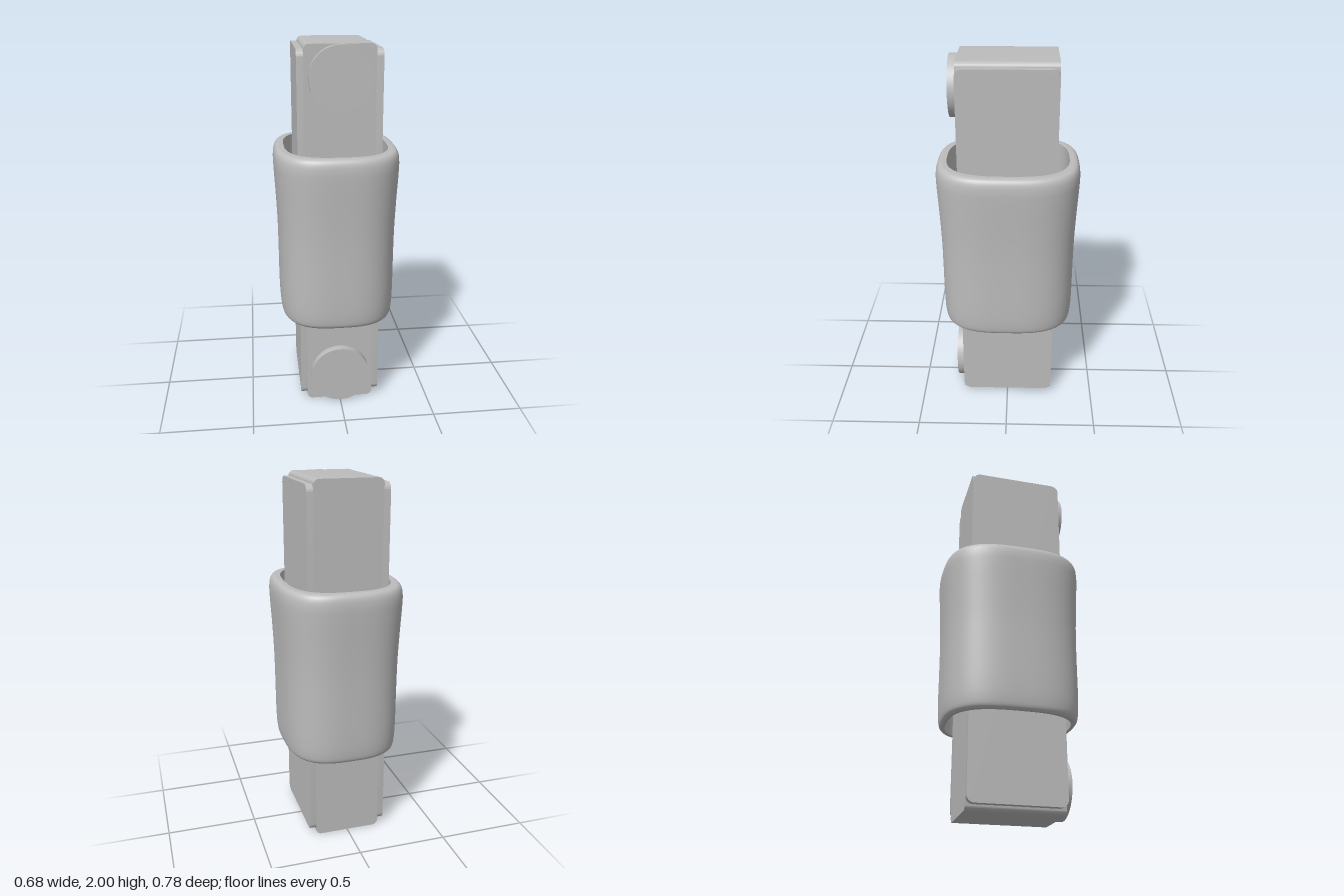
import * as THREE from 'three';
import { toCreasedNormals } from 'three/addons/utils/BufferGeometryUtils.js';

const grey = new THREE.MeshStandardMaterial({ color: 0xbcbcbc });
grey.name = 'grey';

function add(parent, name, geometry, x = 0, y = 0, z = 0) {
  const mesh = new THREE.Mesh(geometry, grey);
  mesh.name = name;
  mesh.position.set(x, y, z);
  parent.add(mesh);
  return mesh;
}

// Slab with a rounded rectangular outline, centred on the origin
function roundedSlab(w, h, r, depth) {
  const x = w / 2, y = h / 2, s = new THREE.Shape();
  s.moveTo(-x + r, -y);
  s.lineTo(x - r, -y);
  s.absarc(x - r, -y + r, r, -Math.PI / 2, 0);
  s.lineTo(x, y - r);
  s.absarc(x - r, y - r, r, 0, Math.PI / 2);
  s.lineTo(-x + r, y);
  s.absarc(-x + r, y - r, r, Math.PI / 2, Math.PI);
  s.lineTo(-x, -y + r);
  s.absarc(-x + r, -y + r, r, Math.PI, Math.PI * 1.5);
  const g = new THREE.ExtrudeGeometry(s, { depth, bevelEnabled: false, curveSegments: 8 });
  return toCreasedNormals(g.translate(0, 0, -depth / 2), 0.6);
}

// Skin over stacked squarish ovals; each ring is [half width, y, exponent]
function loft(rings, sides = 96) {
  const pos = [], index = [];
  rings.forEach(([a, y, n], j) => {
    const b = a + 0.05;
    for (let i = 0; i < sides; i++) {
      const t = (i / sides) * Math.PI * 2, c = Math.cos(t), s = Math.sin(t);
      const r = Math.pow(Math.abs(c / a) ** n + Math.abs(s / b) ** n, -1 / n);
      pos.push(r * c, y, r * s);
      if (j === rings.length - 1) continue;
      const k = (i + 1) % sides, lo = j * sides, hi = lo + sides;
      index.push(lo + i, hi + i, lo + k, lo + k, hi + i, hi + k);
    }
  });
  const g = new THREE.BufferGeometry();
  g.setAttribute('position', new THREE.Float32BufferAttribute(pos, 3));
  g.setIndex(index);
  g.computeVertexNormals();
  return g;
}

export function createModel() {
  const model = new THREE.Group();
  model.name = 'sleevedBar';

  // Central bar with a slightly shorter plate on each side
  add(model, 'bar', roundedSlab(0.37, 2, 0.03, 0.518), 0, 1, 0);
  for (const side of [-1, 1]) {
    const plate = add(model, side > 0 ? 'leftPlate' : 'rightPlate',
      roundedSlab(0.518, 1.945, 0.04, 0.037), side * 0.2015, 1.0025, 0);
    plate.rotation.y = Math.PI / 2;
  }

  // Round buttons near both ends of the front
  for (const [name, y] of [['upperButton', 1.836], ['lowerButton', 0.168]]) {
    add(model, name, new THREE.CylinderGeometry(0.163, 0.163, 0.05, 64).rotateX(Math.PI / 2), 0, y, 0.277);
  }

  // Hollow sleeve, flared towards the top
  const sleeve = new THREE.Group();
  sleeve.name = 'sleeve';
  model.add(sleeve);
  const profile = new THREE.CatmullRomCurve3([
    [0.298, 0.49], [0.309, 0.503], [0.316, 0.54], [0.32, 0.62], [0.321, 0.82], [0.323, 1.0],
    [0.33, 1.17], [0.338, 1.32], [0.339, 1.38], [0.333, 1.42], [0.321, 1.439], [0.305, 1.445],
  ].map(([x, y]) => new THREE.Vector3(x, y, 0)));
  const outer = profile.getPoints(44).map((p) => [p.x, p.y, 3]);
  add(sleeve, 'sleeveOuter', loft(outer));
  add(sleeve, 'sleeveTopRim', loft([[0.305, 1.445, 3], [0.281, 1.445, 2.85]]));
  add(sleeve, 'sleeveInner', loft([[0.281, 1.445, 2.85], [0.281, 0.49, 2.85]]));
  add(sleeve, 'sleeveBottomRim', loft([[0.281, 0.49, 2.85], [0.298, 0.49, 3]]));

  return model;
}
